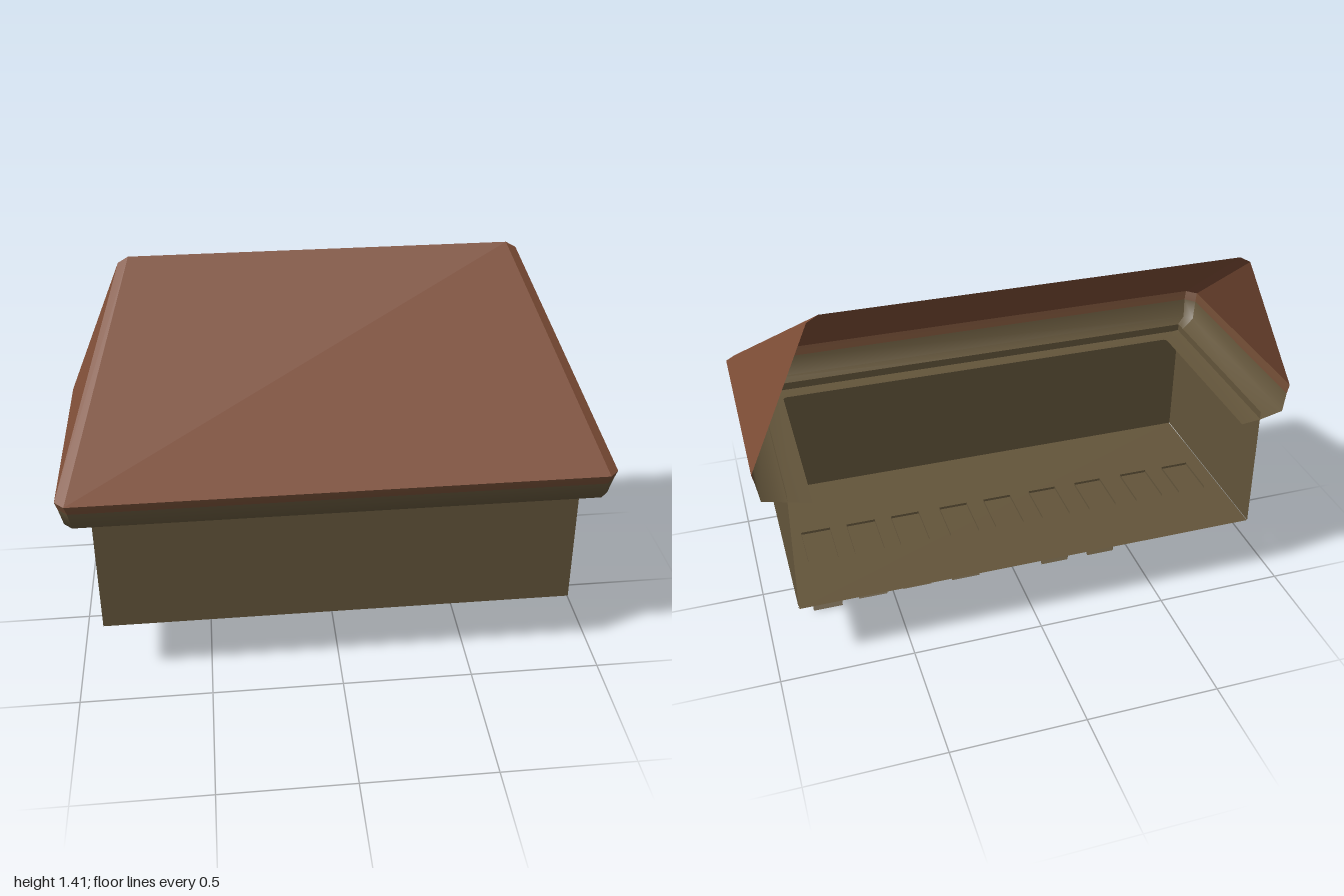
import * as THREE from 'three';

const mat = (name, color) =>
  Object.assign(new THREE.MeshStandardMaterial({ color, side: THREE.DoubleSide }), { name });

// U-shaped outline, open at the back, with chamfered front corners
const ring = (x, y, front, back, c = 0) => [
  [-x, y, back], [-x, y, front - c], [-x + c, y, front],
  [x - c, y, front], [x, y, front - c], [x, y, back],
];

// Skin between outlines listed from bottom to top: hard corners along the
// outline, smooth from level to level, one material group per level
function loft(name, rings, materials) {
  const pos = [], index = [], geo = new THREE.BufferGeometry();
  const segs = rings[0].length - 1;
  rings.forEach((r) => {
    for (let s = 0; s < segs; s++) pos.push(...r[s], ...r[s + 1]);
  });
  for (let l = 0; l < rings.length - 1; l++) {
    geo.addGroup(index.length, segs * 6, Array.isArray(materials) ? l : 0);
    for (let s = 0; s < segs; s++) {
      const a = (l * segs + s) * 2, b = a + segs * 2;
      index.push(a, a + 1, b + 1, a, b + 1, b);
    }
  }
  geo.setAttribute('position', new THREE.Float32BufferAttribute(pos, 3));
  geo.setIndex(index);
  geo.computeVertexNormals();
  const mesh = new THREE.Mesh(geo, materials);
  mesh.name = name;
  return mesh;
}

export function createModel() {
  const group = new THREE.Group();
  group.name = 'roofedBay';
  const tile = mat('roofTile', 0x7d4d36);
  const wood = mat('wood', 0x62543a);
  const stain = mat('stainedWood', 0x6e4a33);
  const BACK = -0.405;

  // Hipped roof shell, open at the back, narrow bevels along the hips
  const ridge = [
    [-0.77, 1.385, BACK], [-0.77, 1.385, BACK], [-0.73, 1.408, BACK],
    [0.73, 1.408, BACK], [0.77, 1.385, BACK], [0.77, 1.385, BACK],
  ];
  group.add(loft('roof', [ring(1, 0.85, 0.44, BACK, 0.035), ridge], tile));

  // Cornice: inner ledge, soffit, fascia and stained upper edge
  const ledge = ring(0.81, 0.72, 0.28, -0.42, 0.01);
  ledge[5][2] = -0.44;
  group.add(loft('cornice', [
    ledge,
    ring(0.89, 0.72, 0.34, -0.41, 0.02),
    ring(0.98, 0.742, 0.412, -0.41, 0.03),
    ring(0.992, 0.815, 0.432, BACK, 0.035),
    ring(1, 0.85, 0.44, BACK, 0.035),
  ], [wood, wood, wood, stain]));

  // Three walls, leaning out slightly towards the bottom
  group.add(loft('walls', [
    ring(0.897, 0.24, 0.353, BACK), ring(0.892, 0.75, 0.338, BACK),
  ], wood));

  // Floor
  const floor = new THREE.Mesh(new THREE.PlaneGeometry(1.79, 0.758), wood);
  floor.name = 'floor';
  floor.rotation.x = -Math.PI / 2;
  floor.position.set(0, 0.24, -0.026);
  group.add(floor);

  // Row of hollow brackets with sloping undersides, poking through the floor
  const brackets = [
    [-0.77, 0.03], [-0.58, 0.03], [-0.375, 0.005], [-0.175, 0.005], [0.02, 0.025],
    [0.205, 0.015], [0.405, 0.02], [0.585, 0.015], [0.765, 0],
  ];
  brackets.forEach(([x, bottom], i) => {
    const bracket = loft('bracket' + (i + 1), [
      ring(0.057, bottom, -0.155, -0.155),
      ring(0.057, 0.135, 0.025, -0.155),
      ring(0.057, 0.25, 0.025, -0.155),
    ], wood);
    bracket.position.x = x;
    group.add(bracket);
  });
  return group;
}
